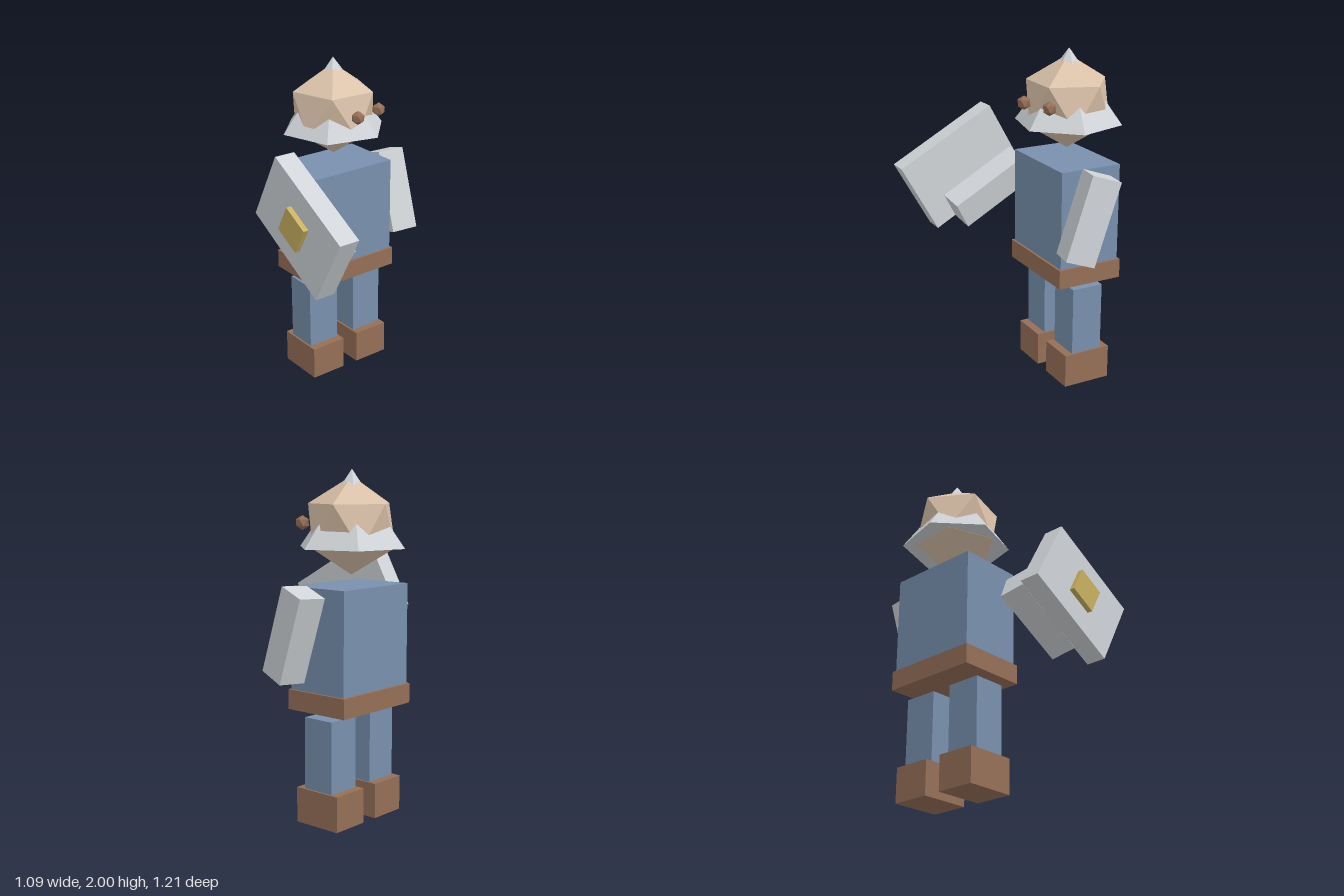
import * as THREE from 'three';

const paint = (name, color) => {
  const m = new THREE.MeshStandardMaterial({ color, flatShading: true });
  m.name = name;
  return m;
};

export function createModel() {
  const model = new THREE.Group();
  model.name = 'armouredFigure';

  const blue = paint('clothBlue', 0x7890ae);
  const brown = paint('leatherBrown', 0x966f57);
  const skin = paint('skin', 0xdbc2aa);
  const steel = paint('steel', 0xd0d4d8);
  const gold = paint('gold', 0xc9b160);

  const add = (parent, name, geometry, material, x, y, z) => {
    const mesh = new THREE.Mesh(geometry, material);
    mesh.name = name;
    mesh.position.set(x, y, z);
    parent.add(mesh);
    return mesh;
  };
  const box = (w, h, d) => new THREE.BoxGeometry(w, h, d);

  // Turn a mesh so its own x and y axes follow the given directions
  const orient = (mesh, xAxis, yAxis) => {
    const x = new THREE.Vector3(...xAxis).normalize();
    const z = x.clone().cross(new THREE.Vector3(...yAxis)).normalize();
    const y = z.clone().cross(x);
    mesh.quaternion.setFromRotationMatrix(new THREE.Matrix4().makeBasis(x, y, z));
    return mesh;
  };

  // Icosahedron standing on a corner
  const gem = (radius) =>
    new THREE.IcosahedronGeometry(radius, 0).rotateZ(Math.atan(2 / (1 + Math.sqrt(5)))).rotateY(-0.244);

  // Torso and legs, turned slightly to the model's left
  const body = new THREE.Group();
  body.name = 'body';
  body.position.set(0.051, 0, -0.303);
  body.rotation.y = 0.11;
  model.add(body);
  add(body, 'torso', box(0.563, 0.645, 0.385), blue, 0, 1.0325, 0);
  add(body, 'belt', box(0.59, 0.115, 0.412), brown, 0, 0.7125, 0);
  for (const [side, s] of [['left', 1], ['right', -1]]) {
    add(body, side + 'Leg', box(0.209, 0.44, 0.197), blue, s * 0.1685, 0.4, 0);
    add(body, side + 'Shoe', box(0.233, 0.205, 0.3), brown, s * 0.1685, 0.1025, 0);
  }

  // Lowered left arm and raised right arm
  orient(add(model, 'leftArm', box(0.166, 0.51, 0.178), steel, 0.446, 1.101, -0.267),
    [0.165, 0.008, 0.014], [-0.013, 0.485, -0.16]);
  orient(add(model, 'rightArm', box(0.16, 0.51, 0.18), steel, -0.292, 1.111, 0.057),
    [0.155, -0.028, -0.03], [-0.04, 0.25, -0.44]);

  // Shield with a raised boss on its outer side
  const shield = orient(add(model, 'shield', box(0.126, 0.672, 0.466), steel, -0.4375, 1.225, 0.197),
    [0.125, 0, -0.013], [-0.06, 0.325, -0.585]);
  add(shield, 'shieldBoss', box(0.035, 0.184, 0.178), gold, -0.078, 0, 0);

  // Head, with a six-sided helmet showing at the brim and the tip
  add(model, 'head', gem(0.275), skin, 0.048, 1.687, -0.308);
  const helmet = add(model, 'helmet', new THREE.ConeGeometry(0.32, 0.435, 6), steel, 0.05, 1.7825, -0.311);
  helmet.rotation.y = 0.4;

  // Eyes
  add(model, 'rightEye', gem(0.042), brown, 0.05, 1.702, -0.034);
  add(model, 'leftEye', gem(0.042), brown, 0.24, 1.702, -0.11);

  return model;
}
